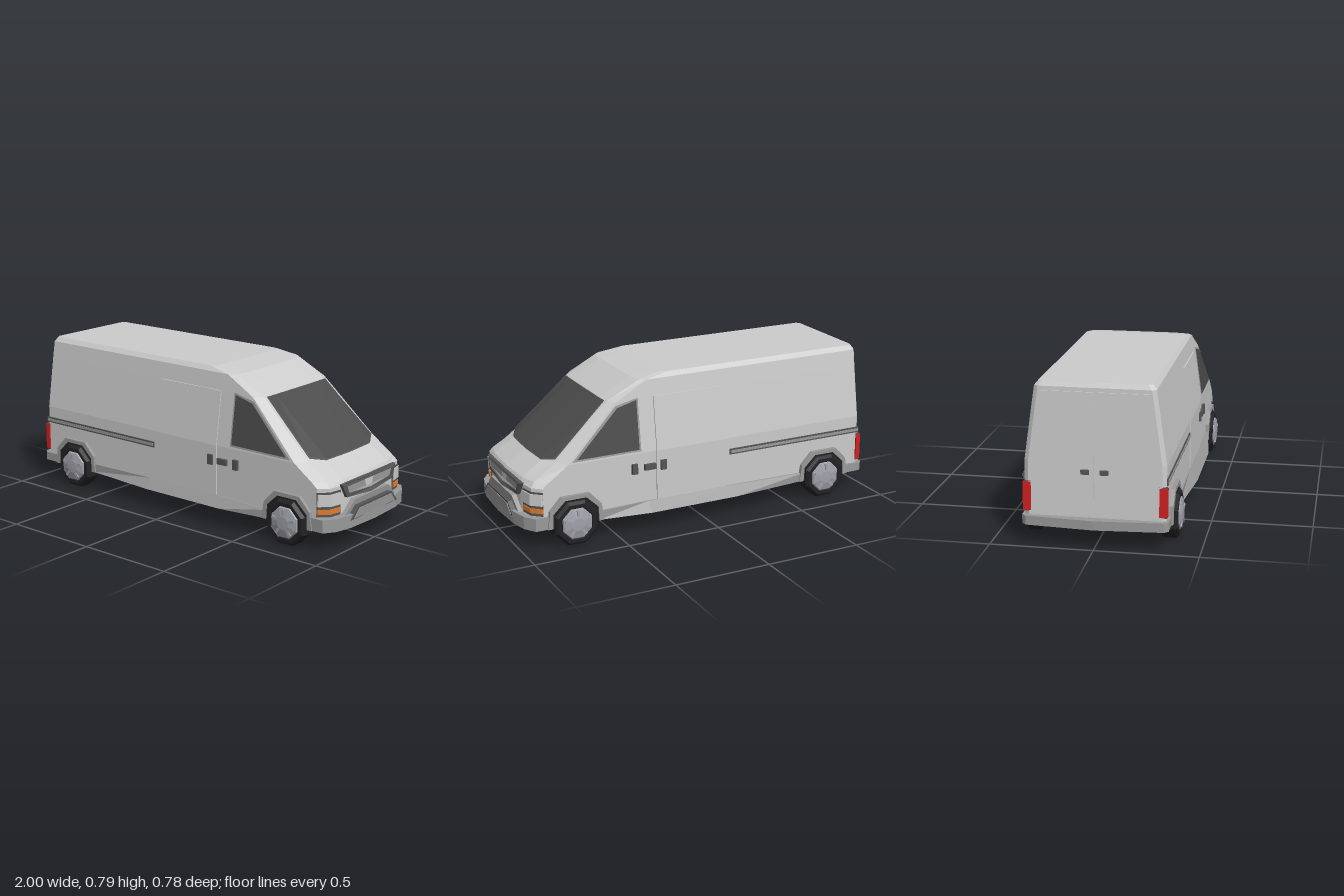
import * as THREE from 'three';

const mat = (color) => new THREE.MeshStandardMaterial({ color, flatShading: true, side: THREE.DoubleSide });
const M = {
  body: mat(0xcccccc), trim: mat(0x999999), dark: mat(0x555555), glass: mat(0x4c4c4c), tyre: mat(0x222224),
  rim: mat(0xa0a0aa), lamp: mat(0xe4e4e4), orange: mat(0xe07a30), red: mat(0xd02020),
};

// Linear interpolation through [key, value] pairs
const lerpTable = (table, k) => {
  for (let i = 1; i < table.length; i++) {
    const [a, va] = table[i - 1], [b, vb] = table[i];
    if (k <= b || i === table.length - 1) return va + (vb - va) * (k - a) / (b - a);
  }
};
const sideZ = (y) => lerpTable([[0.1, 0.338], [0.41, 0.338], [0.68, 0.3], [0.77, 0.287]], y);
const noseX = (z) => lerpTable([[0, 0.96], [0.2, 0.95], [0.3, 0.93], [0.34, 0.885]], Math.abs(z));

// Mirror a half outline (rear centre to front centre) into a closed ring
const fullRing = (half) => [...half, ...half.slice(1, -1).reverse().map(([x, y, z]) => [x, y, -z])];

// Skin between rows of points, with optional closing and end caps
function loft(rows, closed = true) {
  const n = rows[0].length, pos = rows.flat(2), idx = [];
  const cols = closed ? n : n - 1;
  for (let i = 0; i < rows.length - 1; i++) {
    for (let j = 0; j < cols; j++) {
      const a = i * n + j, b = i * n + (j + 1) % n;
      idx.push(a, b, b + n, a, b + n, a + n);
    }
  }
  if (closed) {
    [0, rows.length - 1].forEach((r) => {
      const c = pos.length / 3;
      pos.push(0, rows[r].reduce((s, p) => s + p[1], 0) / n, 0);
      for (let j = 0; j < n; j++) {
        const a = r * n + j, b = r * n + (j + 1) % n;
        idx.push(c, r ? a : b, r ? b : a);
      }
    });
  }
  const g = new THREE.BufferGeometry();
  g.setAttribute('position', new THREE.Float32BufferAttribute(pos, 3));
  g.setIndex(idx);
  const flat = g.toNonIndexed();
  flat.computeVertexNormals();
  return flat;
}

// Extruded panel whose vertices are moved onto the bodywork by a rule
function panel(pts, depth, place, hole) {
  const shape = new THREE.Shape(pts.map((p) => new THREE.Vector2(...p)));
  if (hole) shape.holes.push(new THREE.Path(hole.map((p) => new THREE.Vector2(...p))));
  const g = new THREE.ExtrudeGeometry(shape, { depth, bevelEnabled: false });
  const p = g.attributes.position;
  for (let i = 0; i < p.count; i++) p.setXYZ(i, ...place(p.getX(i), p.getY(i), p.getZ(i)));
  g.computeVertexNormals();
  return g;
}
const sidePanel = (pts, depth, s) =>
  panel(pts.map(([x, y]) => [s * x, y]), depth, (u, y, d) => [s * u, y, s * (sideZ(y) + d)]);
const frontPanel = (pts, depth, hole) =>
  panel(pts.map(([z, y]) => [-z, y]), depth, (u, y, d) => [noseX(u) + d, y, -u], hole?.map(([z, y]) => [-z, y]));
const rect = (x0, x1, y0, y1) => [[x0, y0], [x1, y0], [x1, y1], [x0, y1]];
// Symmetric front outline from its +z half, listed bottom to top
const sym = (half) => [...half, ...half.slice().reverse().map(([z, y]) => [-z, y])];

export function createModel() {
  const van = new THREE.Group();
  van.name = 'van';
  const add = (name, geometry, material, parent = van) => {
    const m = new THREE.Mesh(geometry, material);
    m.name = name;
    parent.add(m);
    return m;
  };
  const box = (name, size, at, material) => add(name, new THREE.BoxGeometry(...size), material).position.set(...at);

  // Body shell: height, rear x, half width, then x,z of side end, corner, mid and centre of the nose
  const levels = [
    [0.11, -0.953, 0.338, 0.885, 0.93, 0.3, 0.95, 0.2, 0.96],
    [0.31, -0.953, 0.338, 0.885, 0.93, 0.3, 0.95, 0.2, 0.96],
    [0.335, -0.952, 0.338, 0.855, 0.91, 0.29, 0.935, 0.2, 0.945],
    [0.41, -0.95, 0.338, 0.75, 0.79, 0.275, 0.825, 0.19, 0.835],
    [0.68, -0.945, 0.3, 0.47, 0.5, 0.255, 0.505, 0.18, 0.505],
    [0.77, -0.942, 0.287, 0.3, 0.33, 0.265, 0.345, 0.18, 0.345],
    [0.793, -0.93, 0.268, 0.17, 0.2, 0.25, 0.2, 0.18, 0.2],
  ];
  add('body', loft(levels.map(([y, r, w, xs, xc, zc, xm, zm, xf]) => fullRing([
    [r, y, 0], [r, y, w - 0.02], [r + 0.015, y, w], [xs, y, w], [xc, y, zc], [xm, y, zm], [xf, y, 0],
  ]))), M.body);

  // Bumpers and bulging sills in one band around the base: x, half width at bottom, at top, top height
  const base = [
    [-1, 0, 0, 0.145], [-0.975, 0.33, 0.33, 0.145], [-0.955, 0.35, 0.35, 0.145], [-0.6, 0.35, 0.35, 0.145],
    [-0.17, 0.387, 0.345, 0.15], [0.32, 0.387, 0.345, 0.15], [0.6, 0.35, 0.35, 0.145], [0.85, 0.352, 0.352, 0.165],
    [0.93, 0.35, 0.35, 0.165], [0.97, 0.29, 0.29, 0.165], [0.99, 0.2, 0.2, 0.165], [1, 0, 0, 0.165],
  ];
  add('bumperAndSills', loft([
    fullRing(base.map(([x, z]) => [x, 0.1, z])),
    fullRing(base.map(([x, , z, y]) => [x, y, z])),
  ]), M.trim);

  // Windscreen
  const row = (half) => [...half, ...half.slice(0, -1).reverse().map(([x, y, z]) => [x, y, -z])];
  const shield = (o, e) => loft([
    row([[0.786 + o, 0.427 + o - e, 0.265 + e], [0.829 + o, 0.409 + o - e, 0.19], [0.838 + o, 0.409 + o - e, 0]]),
    row([[0.508 + o, 0.674 + o + e, 0.243 + e], [0.511 + o, 0.674 + o + e, 0.18], [0.511 + o, 0.674 + o + e, 0]]),
  ], false);
  add('windscreenFrame', shield(0.003, 0.005), M.dark);
  add('windscreen', shield(0.006, 0), M.glass);

  // Grille frame with recessed mesh, and raised lower intake
  const grilleOuter = sym([[0, 0.235], [0.2, 0.25], [0.235, 0.318], [0.2, 0.322]]);
  const grilleInner = sym([[0, 0.256], [0.185, 0.266], [0.2, 0.304]]);
  add('grilleFrame', frontPanel(grilleOuter.slice(0, -1), 0.016, grilleInner.slice(0, -1)), M.dark);
  add('grille', frontPanel(grilleInner.slice(0, -1), 0.008), M.trim);
  add('intakeSurround', frontPanel(sym([[0.225, 0.16], [0.15, 0.23]]), 0.025), M.trim);
  add('lowerIntake', frontPanel(sym([[0.205, 0.14], [0.145, 0.2]]), 0.046), M.dark);
  add('lowerIntakeLip', frontPanel(sym([[0.18, 0.145], [0.14, 0.19]]), 0.048), M.trim);

  // Rear doors and handles
  for (const s of [1, -1]) {
    const pts = [[0.004, 0.16], [0.305, 0.16], [0.305, 0.41], [0.265, 0.75], [0.004, 0.75]];
    add('rearDoor', panel(pts.map(([z, y]) => [s * z, y]), 0.006,
      (z, y, d) => [lerpTable([[0.11, -0.953], [0.77, -0.942]], y) - d, y, z]), M.body);
    box('rearDoorHandle', [0.012, 0.022, 0.04], [-0.96, 0.37, s * 0.045], M.dark);
  }

  for (const s of [1, -1]) {
    // Wraparound lamps: two facets each
    for (const [a, b] of [[0.23, 0.3], [0.3, 0.34]]) {
      add('lampSurround', frontPanel(rect(s * a, s * b, 0.168, 0.292), 0.004), M.dark);
      add('headlight', frontPanel(rect(s * (a + (a < 0.3 ? 0.006 : 0)), s * b, 0.222, 0.282), 0.01), M.lamp);
      add('indicator', frontPanel(rect(s * (a + (a < 0.3 ? 0.008 : 0)), s * b, 0.183, 0.207), 0.01), M.orange);
    }
    box('tailLight', [0.026, 0.14, 0.04], [-0.945, 0.237, s * 0.325], M.red);
    box('tailLightFrame', [0.02, 0.15, 0.036], [-0.943, 0.237, s * 0.323], M.dark);

    // Side window, sliding door and its rail
    add('sideWindowFrame', sidePanel([[0.355, 0.42], [0.725, 0.42], [0.478, 0.662], [0.355, 0.688]], 0.003, s), M.trim);
    add('sideWindow', sidePanel([[0.365, 0.43], [0.7, 0.43], [0.47, 0.652], [0.365, 0.678]], 0.006, s), M.glass);
    add('slidingDoorLower', sidePanel(rect(-0.125, 0.27, 0.15, 0.41), 0.006, s), M.body);
    add('slidingDoorUpper', sidePanel(rect(-0.125, 0.27, 0.41, 0.685), 0.006, s), M.body);
    add('doorRail', sidePanel(rect(-0.945, -0.15, 0.32, 0.35), 0.006, s), M.dark);
    add('doorRailStrip', sidePanel(rect(-0.94, -0.155, 0.328, 0.342), 0.009, s), M.trim);
    for (const [a, b, h] of [[0.22, 0.25, 0.026], [0.28, 0.34, 0.015], [0.38, 0.41, 0.026]]) {
      add('doorHandle', sidePanel(rect(a, b, 0.333 - h, 0.333 + h), 0.016, s), M.dark);
    }

    // Wheels with arches
    for (const cx of [-0.72, 0.72]) {
      const outer = [[-0.15, 0.1], [-0.137, 0.19], [-0.075, 0.256], [0.075, 0.256], [0.137, 0.19], [0.15, 0.1]];
      const inner = [[0.124, 0.1], [0.12, 0.175], [0.056, 0.236], [-0.056, 0.236], [-0.12, 0.175], [-0.124, 0.1]];
      const shift = (pts) => pts.map(([x, y]) => [cx + x, y]);
      add('wheelArch', sidePanel(shift([...outer, ...inner]), 0.02, s), M.trim);
      add('wheelWell', sidePanel(shift(inner), 0.015, s), M.tyre);

      const wheel = new THREE.Group();
      wheel.name = 'wheel';
      wheel.position.set(cx, 0.113, s * 0.293);
      const turned = (profile, n) => new THREE.LatheGeometry(
        profile.map((p) => new THREE.Vector2(...p)), n, Math.PI / n).rotateX(s * Math.PI / 2);
      add('tyre', turned([[0, 0], [0.122, 0], [0.122, 0.066], [0.108, 0.081], [0.088, 0.081], [0.08, 0.068]], 8), M.tyre, wheel);
      add('rim', turned([[0.086, 0.068], [0.08, 0.084], [0.035, 0.095], [0, 0.096]], 8), M.rim, wheel);
      // Five raised spokes
      for (let k = 0; k < 5; k++) {
        const spoke = new THREE.BoxGeometry(0.014, 0.058, 0.008).translate(0, 0.042, s * 0.09);
        add('spoke', spoke.rotateZ(k * Math.PI * 0.4), M.rim, wheel);
      }
      van.add(wheel);
    }
  }
  return van;
}
